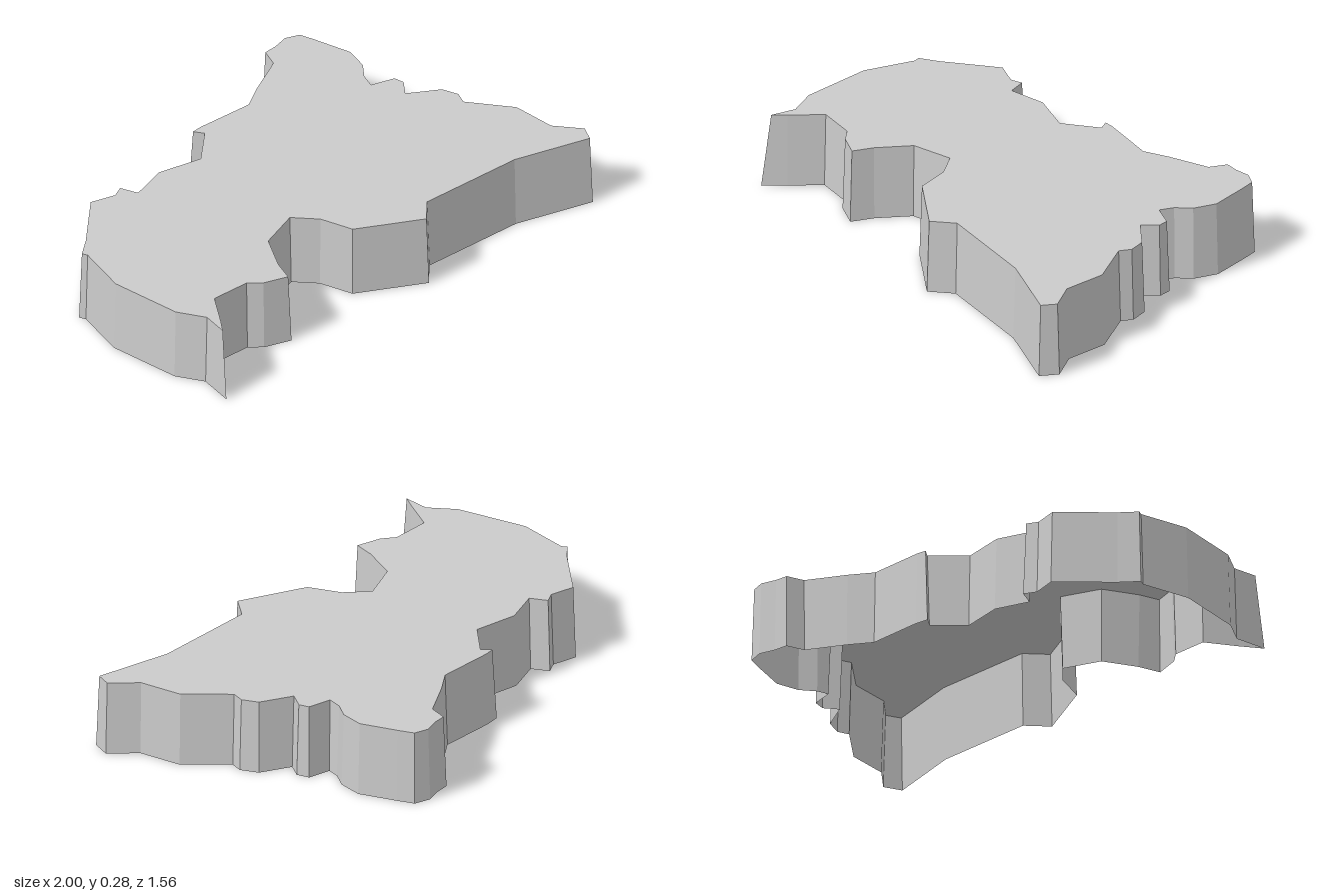
import * as THREE from 'three';

const HEIGHT = 0.285;
const INSET = 0.009; // walls lean in by this much at the top

// Outline of the foot as [x, z], from the right-hand corner round the back
const backEdge = [
  [-1, 0.1], [-0.95, 0.03], [-0.83, -0.18], [-0.73, -0.18], [-0.69, -0.215],
  [-0.643, -0.16], [-0.525, -0.237], [-0.355, -0.247], [-0.282, -0.37], [-0.322, -0.402],
  [-0.27, -0.422], [-0.055, -0.47], [0.013, -0.545], [0.13, -0.655], [0.132, -0.73],
  [0.185, -0.748], [0.24, -0.78], [0.305, -0.775], [0.345, -0.72], [0.43, -0.595],
  [0.437, -0.5], [0.412, -0.435], [0.412, -0.388], [0.502, -0.388], [0.527, -0.345],
  [0.505, -0.285], [0.63, -0.252], [0.675, -0.195], [0.672, -0.147], [0.83, -0.035],
];
const frontEdge = [
  [0.895, 0.12], [1, 0.19], [0.99, 0.265], [0.68, 0.265], [0.287, 0.36],
  [0.24, 0.455], [-0.04, 0.395], [-0.12, 0.288], [-0.21, 0.235], [-0.335, 0.325],
  [-0.362, 0.465], [-0.362, 0.557], [-0.47, 0.552], [-0.525, 0.527], [-0.663, 0.56],
  [-0.7, 0.69], [-0.73, 0.78], [-0.752, 0.65], [-0.84, 0.572], [-0.965, 0.32],
  [-0.982, 0.12],
];

// Mitred inward offset of a closed outline
function insetOutline(points, distance) {
  const n = points.length;
  const inward = (a, b) => new THREE.Vector2(a.y - b.y, b.x - a.x).normalize();
  return points.map((p, i) => {
    const n1 = inward(points[(i + n - 1) % n], p);
    const n2 = inward(p, points[(i + 1) % n]);
    const mitre = n1.clone().add(n2).multiplyScalar(distance / (1 + n1.dot(n2)));
    return mitre.add(p);
  });
}

// One flat quad per outline edge, from the foot up to the top
function wallGeometry(bottom, top) {
  const positions = [];
  bottom.forEach((a, i) => {
    const j = (i + 1) % bottom.length;
    const b = bottom[j], c = top[j], d = top[i];
    positions.push(
      a.x, 0, a.y, c.x, HEIGHT, c.y, b.x, 0, b.y,
      a.x, 0, a.y, d.x, HEIGHT, d.y, c.x, HEIGHT, c.y,
    );
  });
  const geometry = new THREE.BufferGeometry();
  geometry.setAttribute('position', new THREE.Float32BufferAttribute(positions, 3));
  geometry.computeVertexNormals();
  return geometry;
}

export function createModel() {
  const group = new THREE.Group();
  group.name = 'openTray';
  const material = new THREE.MeshStandardMaterial({
    color: 0xcccccc, flatShading: true, side: THREE.DoubleSide,
  });

  const bottom = [...backEdge, ...frontEdge].map(([x, z]) => new THREE.Vector2(x, z));
  const top = insetOutline(bottom, INSET);

  // Thin leaning side walls, open underneath
  const walls = new THREE.Mesh(wallGeometry(bottom, top), material);
  walls.name = 'sideWalls';

  // Flat top plate
  const shape = new THREE.Shape(top.map((p) => new THREE.Vector2(p.x, -p.y)));
  const plate = new THREE.Mesh(new THREE.ShapeGeometry(shape).rotateX(-Math.PI / 2), material);
  plate.position.y = HEIGHT;
  plate.name = 'topPlate';

  group.add(walls, plate);
  return group;
}
